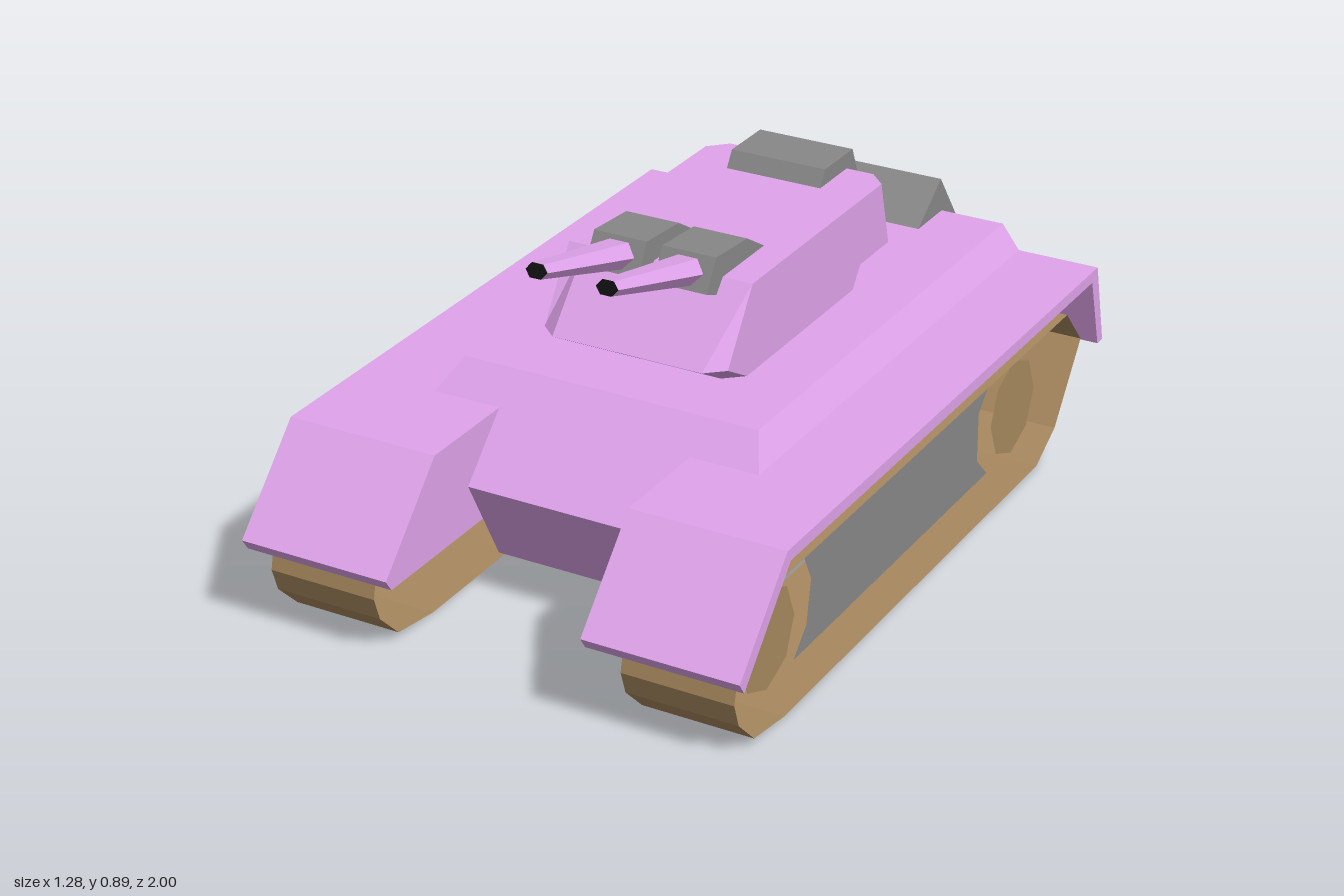
import * as THREE from 'three';

const material = (color) =>
  new THREE.MeshStandardMaterial({ color, flatShading: true, side: THREE.DoubleSide });

export function createModel() {
  const model = new THREE.Group();
  const paint = material(0xe0a4ec);
  const grey = material(0x888888);
  const brown = material(0xa8895f);
  const black = material(0x111111);

  function add(name, geometry, mat, parent = model) {
    const mesh = new THREE.Mesh(geometry, mat);
    mesh.name = name;
    parent.add(mesh);
    return mesh;
  }

  const outline = (profile) => new THREE.Shape(profile.map(([z, y]) => new THREE.Vector2(z, y)));

  // Solid with a [z, y] side profile, running from x0 to x1
  function prism(profile, x0, x1) {
    const g = new THREE.ExtrudeGeometry(outline(profile), { depth: x1 - x0, bevelEnabled: false });
    return g.rotateY(-Math.PI / 2).translate(x1, 0, 0);
  }

  // Flat side plate with a [z, y] outline, standing at x
  const sidePlate = (profile, x) =>
    new THREE.ShapeGeometry(outline(profile)).rotateY(-Math.PI / 2).translate(x, 0, 0);

  // Convex sheets, each a list of [x, y, z] corners
  function sheets(polygons) {
    const pos = [];
    for (const p of polygons) {
      for (let i = 1; i < p.length - 1; i++) pos.push(...p[0], ...p[i], ...p[i + 1]);
    }
    const g = new THREE.BufferGeometry();
    g.setAttribute('position', new THREE.Float32BufferAttribute(pos, 3));
    g.computeVertexNormals();
    return g;
  }

  // Symmetric cross strip between two [halfWidth, y, z] edges
  const strip = ([w0, y0, z0], [w1, y1, z1]) =>
    [[-w0, y0, z0], [w0, y0, z0], [w1, y1, z1], [-w1, y1, z1]];

  // Hull: plates over the deck, nose, belly and tail
  const hull = new THREE.Group();
  hull.name = 'hull';
  model.add(hull);
  const deckRear = [0.385, 0.53, -0.84], deckFront = [0.385, 0.53, 0.45];
  const slopeFoot = [0.425, 0.46, 0.52], tail = [0.39, 0.24, -0.98];
  const bellyRear = [0.25, 0.09, -0.855], bellyFront = [0.25, 0.09, 0.54];
  add('deck', sheets([strip(deckFront, deckRear)]), paint, hull);
  add('rearPlate', sheets([strip(deckRear, tail)]), paint, hull);
  add('frontSlope', sheets([
    strip(slopeFoot, deckFront),
    strip([0.25, 0.32, 0.66], [0.25, 0.46, 0.52]),
  ]), paint, hull);
  add('lowerFrontPlate', sheets([strip(bellyFront, [0.25, 0.32, 0.66])]), paint, hull);
  add('belly', sheets([strip(bellyRear, bellyFront)]), paint, hull);
  add('lowerRearPlate', sheets([strip(tail, bellyRear)]), paint, hull);
  for (const s of [1, -1]) {
    const m = ([x, y, z]) => [s * x, y, z];
    const corner = [0.425, 0.46, -0.855];
    add('deckSide', sheets([
      [deckFront, slopeFoot, corner, deckRear].map(m),
      [deckRear, corner, [0.425, 0.24, -0.91], tail].map(m),
    ]), paint, hull);
  }

  // Fenders with drooping ends, and inner cheeks beside the nose
  const fender = [[-0.91, 0.24], [-0.88, 0.24], [-0.825, 0.43], [0.775, 0.43],
    [0.98, 0.21], [1, 0.24], [0.79, 0.46], [-0.855, 0.46]];
  const frontFender = [[0.5, 0.43], [0.775, 0.43], [0.98, 0.21], [1, 0.24],
    [0.79, 0.46], [0.5, 0.46]];
  const cheek = [[0.6, 0.21], [0.98, 0.21], [0.775, 0.43], [0.55, 0.43], [0.66, 0.32]];
  for (const s of [1, -1]) {
    add('fender', prism(fender, s > 0 ? 0.425 : -0.64, s > 0 ? 0.64 : -0.425), paint);
    add('frontFender', prism(frontFender, s > 0 ? 0.25 : -0.425, s > 0 ? 0.425 : -0.25), paint);
    add('fenderCheek', sidePlate(cheek, s * 0.25), paint);
  }

  // Running gear: open track belt, wheel discs and side panel
  const belt = [[0.72, 0], [0.86, 0.02], [0.93, 0.09], [0.95, 0.15], [0.93, 0.24], [0.82, 0.355],
    [-0.77, 0.355], [-0.865, 0.25], [-0.725, 0.06], [-0.62, 0]];
  const panel = [[0.535, 0.3], [-0.44, 0.3], [-0.38, 0.24], [-0.38, 0.11],
    [-0.44, 0.05], [0.575, 0.05], [0.515, 0.11], [0.495, 0.22]];
  for (const s of [1, -1]) {
    const gear = new THREE.Group();
    gear.name = 'runningGear';
    model.add(gear);
    add('trackBelt', sheets(belt.map(([z, y], i) => {
      const [z2, y2] = belt[(i + 1) % belt.length];
      const quad = [[s * 0.32, y, z], [s * 0.6, y, z], [s * 0.6, y2, z2], [s * 0.32, y2, z2]];
      return s > 0 ? quad : quad.reverse();
    })), brown, gear);
    for (const z of [0.71, -0.57]) {
      const wheel = add('wheel', new THREE.CircleGeometry(0.127, 8), brown, gear);
      wheel.rotation.y = (s * Math.PI) / 2;
      wheel.position.set(s * 0.55, 0.175, z);
    }
    add('sidePanel', sidePlate(panel, s * 0.545), grey, gear);
  }

  // Turret: rings of a rectangle with cut corners, lofted upwards
  const turret = new THREE.Group();
  turret.name = 'turret';
  model.add(turret);
  const w = 0.242, cut = 0.197;
  const ring = (y, zf, zr, cf, cr) => [
    [cut, y, zf], [w, y, zf - cf], [w, y, zr + cr], [cut, y, zr],
    [-cut, y, zr], [-w, y, zr + cr], [-w, y, zf - cf], [-cut, y, zf],
  ];
  const rings = [ring(0.538, 0.28, -0.29, 0.04, 0), ring(0.59, 0.37, -0.33, 0.04, 0),
    ring(0.59, 0.37, -0.525, 0.04, 0.045), ring(0.76, 0.215, -0.48, 0, 0.045)];
  const faces = [[...rings[0]].reverse(), rings[3]];
  for (let r = 0; r < 3; r++) {
    for (let i = 0; i < 8; i++) {
      const j = (i + 1) % 8;
      faces.push([rings[r][i], rings[r][j], rings[r + 1][j], rings[r + 1][i]]);
    }
  }
  add('turretBody', sheets(faces), paint, turret);
  add('turretRearBox', prism([[-0.34, 0.76], [-0.365, 0.8], [-0.51, 0.8], [-0.57, 0.655],
    [-0.52, 0.655], [-0.48, 0.76]], -0.13, 0.125), grey, turret);

  // Twin guns: mantlet, flattened six-sided barrel and dark muzzle
  const mantlet = [[0.29, 0.745], [0.246, 0.82], [0.1, 0.81], [0.01, 0.755], [0.2, 0.75], [0.24, 0.725]];
  const tube = (r1, r0, length, start) => new THREE.CylinderGeometry(r1, r0, length, 6)
    .rotateY(Math.PI / 6).scale(1, 1, 0.72).translate(0, start + length / 2, 0);
  for (const x of [-0.085, 0.095]) {
    add('mantlet', prism(mantlet, x - 0.07, x + 0.07), grey, turret);
    const gun = new THREE.Group();
    gun.name = 'gun';
    gun.position.set(x, 0.777, 0.25);
    gun.rotation.x = Math.PI / 2 - Math.atan2(0.1, 0.36);
    turret.add(gun);
    add('barrel', tube(0.027, 0.05, 0.37, 0), paint, gun);
    add('muzzle', tube(0.027, 0.027, 0.005, 0.37), black, gun);
  }

  // Engine box over the rear edge of the deck
  add('engineBox', prism([[-0.7, 0.525], [-0.83, 0.62], [-1, 0.385], [-0.935, 0.32],
    [-0.84, 0.52]], -0.215, 0.215), grey);

  return model;
}
